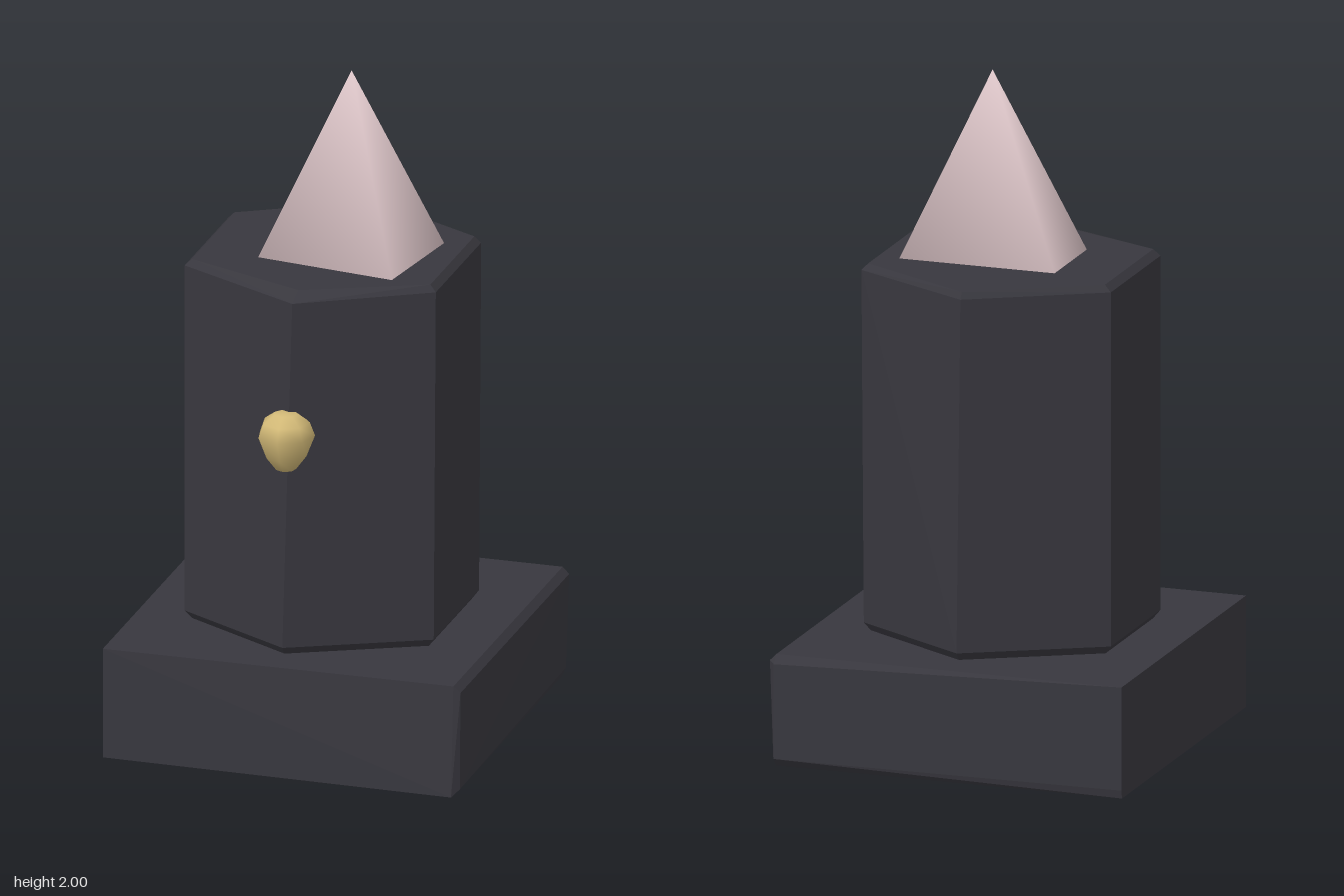
import * as THREE from 'three';
import { ConvexGeometry } from 'three/addons/geometries/ConvexGeometry.js';

const material = (name, color) => new THREE.MeshStandardMaterial({ name, color });

// Solid block spanning the given corner points
function hull(points) {
  return new ConvexGeometry(points.map((p) => new THREE.Vector3(...p)));
}

export function createModel() {
  const charcoal = material('charcoal', 0x38373e);
  const pink = material('pale pink', 0xe2cacd);
  const gold = material('gold', 0xd2b977);
  const group = new THREE.Group();
  const add = (name, geometry, mat) => {
    const mesh = new THREE.Mesh(geometry, mat);
    mesh.name = name;
    group.add(mesh);
    return mesh;
  };

  // Square base, worn along its left and back edges
  add('base', hull([
    [-0.545, 0, 0.53], [0.52, 0, 0.553], [0.54, 0.02, 0.53],
    [-0.545, 0, -0.53], [0.52, 0, -0.53], [-0.545, 0.025, -0.535],
    [0.52, 0.025, -0.553], [0.53, 0.025, -0.53],
    [-0.545, 0.335, 0.53], [0.52, 0.335, 0.53], [0.54, 0.315, 0.525],
    [-0.545, 0.335, -0.535], [0.52, 0.335, -0.53],
    [0.52, 0.31, -0.553], [0.54, 0.315, -0.53],
  ]), charcoal);

  // Six-sided column, slightly twisted, with nicked ends
  const corners = [
    [0, 0.433], [0.368, 0.215], [0.368, -0.225],
    [-0.012, -0.433], [-0.395, -0.21], [-0.395, 0.215],
  ];
  const points = [];
  corners.forEach(([x, z], i) => {
    const twist = i === 0 ? -0.03 : i === 3 ? 0.012 : 0;
    const dz = i === 1 || i === 2 ? 0.02 : 0;
    points.push([x + twist, 0.36, z + dz], [x, 1.425, z]);
    points.push([x * 0.95 + twist, 0.335, (z + dz) * 0.95]);
    points.push([x * 0.95, 1.445, z * (i === 0 ? 0.85 : 0.97)]);
  });
  add('column', hull(points), charcoal);

  // Uneven four-sided flame with softly shaded sides
  const flame = new THREE.BufferGeometry();
  flame.setAttribute('position', new THREE.Float32BufferAttribute([
    0.045, 2, 0,
    -0.2, 1.435, 0.14, 0.235, 1.435, 0.21,
    0.287, 1.435, -0.14, -0.2, 1.435, -0.14,
  ], 3));
  flame.setIndex([0, 1, 2, 0, 2, 3, 0, 3, 4, 0, 4, 1, 1, 4, 3, 1, 3, 2]);
  flame.computeVertexNormals();
  add('flame', flame, pink);

  // Small faceted knob on the front edge, narrow at the bottom
  const profile = [[0, 0.92], [0.03, 0.92], [0.06, 0.96], [0.085, 1.025], [0.07, 1.065], [0.035, 1.09], [0, 1.09]];
  const knob = new THREE.LatheGeometry(profile.map(([r, y]) => new THREE.Vector2(r, y)), 7);
  add('knob', knob, gold).position.set(-0.015, 0, 0.447);

  return group;
}
